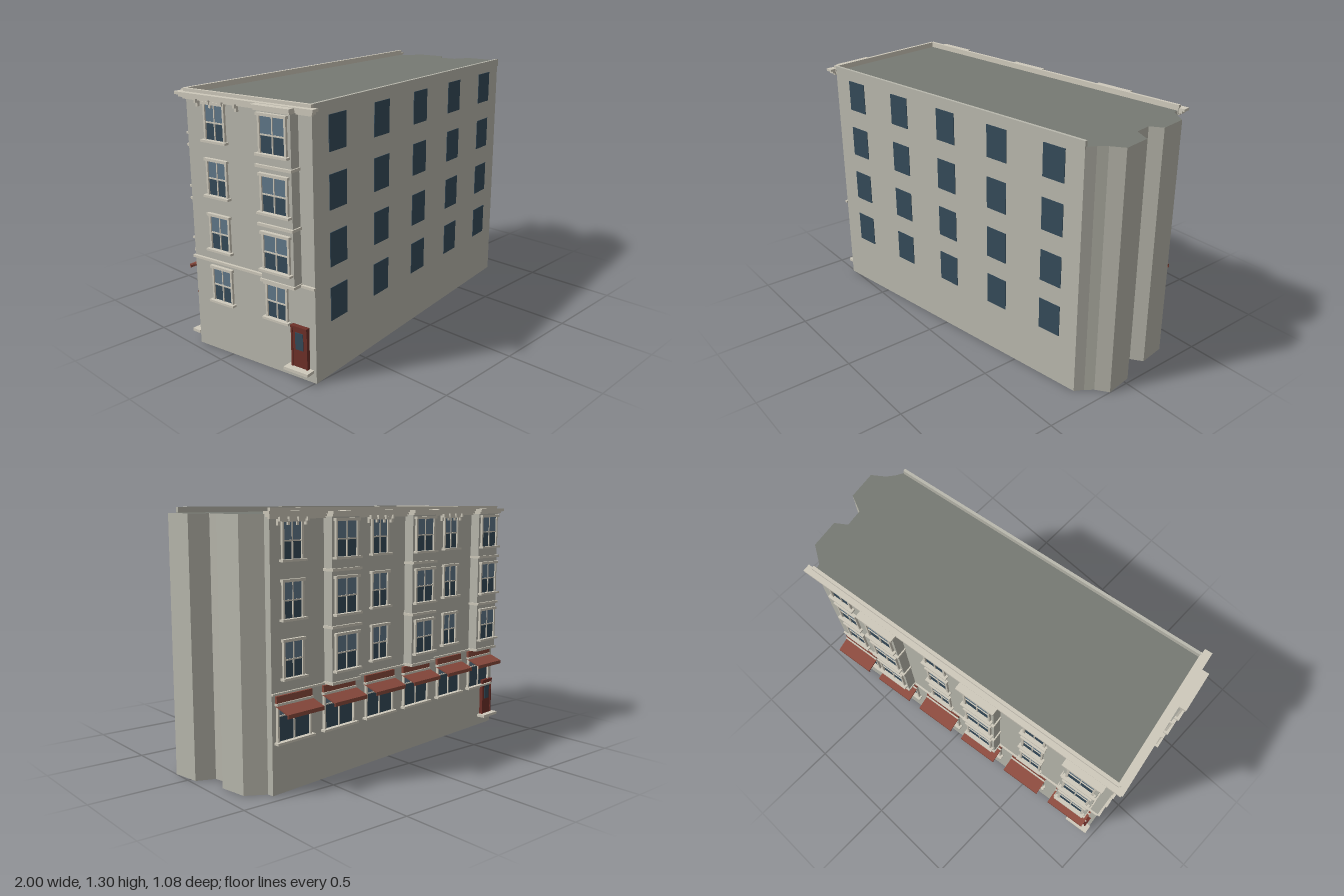
import * as THREE from 'three';

const mat = (color, side = THREE.FrontSide) => new THREE.MeshStandardMaterial({ color, side });
const WALL = mat(0xb9b8ad), TRIM = mat(0xcfcabc), ROOF = mat(0x777a73), GLASS = mat(0x354a59),
  GLASS_LIGHT = mat(0x61788a), RED = mat(0x8a4a3d), DOOR = mat(0x6e3029);

// Main corners of the plan as [x, z]
const FRONT_LEFT = [-0.834, 0.507], FRONT_RIGHT = [0.881, 0.246];
const BACK_LEFT = [-0.956, -0.222], BACK_RIGHT = [0.806, -0.441];
const ROWS = [0.54, 0.81, 1.077], WIN_H = 0.165, ROOF_Y = 1.277;

// Box given by its centre x, bottom y and back z
function box(parent, name, w, h, d, x, y, z, material) {
  const m = new THREE.Mesh(new THREE.BoxGeometry(w, h, d), material);
  m.name = name;
  m.position.set(x, y + h / 2, z + d / 2);
  parent.add(m);
  return m;
}

function group(parent, name, x = 0, y = 0, z = 0) {
  const g = new THREE.Group();
  g.name = name;
  g.position.set(x, y, z);
  parent.add(g);
  return g;
}

// Local frame of a wall: x runs along it, z points outward
function facade(parent, name, a, b) {
  const g = group(parent, name, a[0], 0, a[1]);
  const dx = b[0] - a[0], dz = b[1] - a[1];
  g.rotation.y = Math.atan2(-dz, dx);
  g.userData.len = Math.hypot(dx, dz);
  return g;
}

// Four-sided casing around an opening
function casing(g, w, h, t, d) {
  for (const s of [-1, 1]) box(g, 'jamb', t, h, d, s * (w + t) / 2, 0, 0, TRIM);
  box(g, 'head', w + 2 * t + 0.012, t * 1.2, d + 0.006, 0, h, 0, TRIM);
  box(g, 'sill', w + 2 * t + 0.024, 0.011, d + 0.014, 0, -0.011, 0, TRIM);
}

// Sash window with a meeting rail and a central mullion
function sashWindow(parent, x, y, z, w, h = WIN_H) {
  const g = group(parent, 'sashWindow', x, y, z);
  box(g, 'lowerSash', w, h / 2, 0.003, 0, 0, 0, GLASS);
  box(g, 'upperSash', w, h / 2, 0.005, 0, h / 2, 0, GLASS_LIGHT);
  box(g, 'meetingRail', w, 0.007, 0.009, 0, h / 2 - 0.004, 0, TRIM);
  box(g, 'mullion', 0.006, h, 0.008, 0, 0, 0, TRIM);
  casing(g, w, h, 0.011, 0.012);
}

// Projecting bay with three stacked windows and ledges
function bayWindow(parent, x, w = 0.19) {
  const g = group(parent, 'bayWindow', x);
  const depth = 0.053;
  box(g, 'bayBody', w, 1.265 - 0.478, depth, 0, 0.478, 0, WALL);
  for (const y of [0.74, 1.01]) box(g, 'bayLedge', w + 0.014, 0.013, depth + 0.012, 0, y, 0, TRIM);
  box(g, 'bayBase', w + 0.01, 0.014, depth + 0.008, 0, 0.47, 0, TRIM);
  box(g, 'bayCrown', w + 0.026, 0.014, depth + 0.024, 0, 1.274, 0, TRIM);
  box(g, 'bayFrieze', w + 0.01, 0.012, depth + 0.012, 0, 1.262, 0, TRIM);
  for (const y of ROWS) sashWindow(g, 0, y, depth, 0.135);
}

// Shop window: two large panes under a lighter transom
function shopWindow(parent, x) {
  const g = group(parent, 'shopWindow', x, 0.25, 0);
  const w = 0.195, h = 0.17;
  box(g, 'glass', w, 0.12, 0.003, 0, 0, 0, GLASS);
  box(g, 'transomGlass', w, h - 0.12, 0.004, 0, 0.12, 0, GLASS_LIGHT);
  box(g, 'transomBar', w, 0.006, 0.009, 0, 0.117, 0, TRIM);
  box(g, 'mullion', 0.007, h, 0.009, 0, 0, 0, TRIM);
  casing(g, w, h, 0.01, 0.014);
}

// Sloping awning with a short hanging edge and a fascia board above
function awning(parent, x) {
  const w = 0.225;
  const s = new THREE.Shape([[0, 0.428], [0.09, 0.394], [0.09, 0.375], [0.084, 0.375], [0.084, 0.388], [0, 0.419]]
    .map(p => new THREE.Vector2(...p)));
  const m = new THREE.Mesh(new THREE.ExtrudeGeometry(s, { depth: w, bevelEnabled: false }), RED);
  m.name = 'awning';
  m.rotation.y = -Math.PI / 2;
  m.position.x = x + w / 2;
  parent.add(m);
  box(parent, 'fascia', w, 0.035, 0.013, x, 0.43, 0, RED);
}

function entrance(parent, x) {
  const g = group(parent, 'entrance', x, 0.065, 0);
  box(g, 'door', 0.078, 0.2, 0.016, 0, 0, 0, DOOR);
  box(g, 'doorGlass', 0.045, 0.085, 0.003, 0, 0.09, 0.016, GLASS);
  box(g, 'doorHead', 0.095, 0.01, 0.024, 0, 0.198, 0, DOOR);
  for (const s of [-1, 1]) box(g, 'doorJamb', 0.009, 0.2, 0.02, s * 0.042, 0, 0, DOOR);
  box(g, 'step', 0.14, 0.015, 0.05, 0, -0.015, 0, TRIM);
}

// Parapet with stepped cornice along a street wall
function cornice(f) {
  const L = f.userData.len;
  box(f, 'parapet', L + 0.01, 0.045, 0.017, L / 2, 1.26, -0.005, TRIM);
  box(f, 'corniceCrown', L + 0.07, 0.013, 0.04, L / 2, 1.277, 0, TRIM);
  box(f, 'corniceStep', L + 0.045, 0.012, 0.028, L / 2, 1.265, 0, TRIM);
  box(f, 'corniceBed', L + 0.02, 0.01, 0.014, L / 2, 1.255, 0, TRIM);
}

function brackets(f, x, n, span) {
  for (let i = 0; i < n; i++) {
    const u = x + (i / (n - 1) - 0.5) * span;
    box(f, 'bracket', 0.012, 0.02, 0.026, u, 1.245, 0, TRIM);
    box(f, 'bracketFoot', 0.012, 0.018, 0.014, u, 1.227, 0, TRIM);
  }
}

export function createModel() {
  const model = new THREE.Group();
  model.name = 'cornerBuilding';

  // Main block with its notched party wall on the right
  const plan = [FRONT_LEFT, FRONT_RIGHT, [0.906, 0.2], [0.937, 0.16], [0.999, 0.114], [0.977, -0.033],
    [0.886, -0.071], [0.871, -0.161], [0.929, -0.203], [0.907, -0.35], [0.811, -0.408], BACK_RIGHT, BACK_LEFT];
  const shape = new THREE.Shape(plan.map(([x, z]) => new THREE.Vector2(x, -z)));
  const geo = new THREE.ExtrudeGeometry(shape, { depth: ROOF_Y, bevelEnabled: false }).rotateX(-Math.PI / 2);
  const block = new THREE.Mesh(geo, [ROOF, WALL]);
  block.name = 'mainBlock';
  model.add(block);

  // Plain front wall: a grid of flush windows and a thin parapet
  const front = facade(model, 'frontWall', FRONT_LEFT, FRONT_RIGHT);
  const fl = front.userData.len;
  box(front, 'parapet', fl + 0.005, 0.04, 0.015, fl / 2, 1.265, -0.011, WALL);
  for (const y of [0.273, ...ROWS])
    for (let i = 0; i < 5; i++)
      box(front, 'flushWindow', 0.126, WIN_H, 0.003, 0.176 + i * 0.348, y, 0, GLASS);

  // Back street wall: shops below, flat and projecting windows in turn above
  const back = facade(model, 'backWall', BACK_RIGHT, BACK_LEFT);
  cornice(back);
  for (let i = 0; i < 6; i++) {
    const u = 0.131 + i * 0.2995;
    shopWindow(back, u);
    awning(back, u);
    if (i % 2) bayWindow(back, u);
    else {
      for (const y of ROWS) sashWindow(back, u, y, 0, 0.108);
      brackets(back, u, 4, 0.17);
    }
  }
  box(back, 'stringCourse', back.userData.len, 0.01, 0.01, back.userData.len / 2, 0.468, 0, TRIM);
  entrance(back, back.userData.len - 0.065);

  // Left street wall
  const left = facade(model, 'leftWall', BACK_LEFT, FRONT_LEFT);
  cornice(left);
  box(left, 'stringCourse', left.userData.len + 0.01, 0.012, 0.014, left.userData.len / 2, 0.468, 0, TRIM);
  for (const y of [0.273, ...ROWS]) sashWindow(left, 0.18, y, 0, 0.108);
  sashWindow(left, 0.52, 0.273, 0, 0.108);
  bayWindow(left, 0.57);
  brackets(left, 0.2, 4, 0.24);
  entrance(left, 0.655);

  return model;
}
